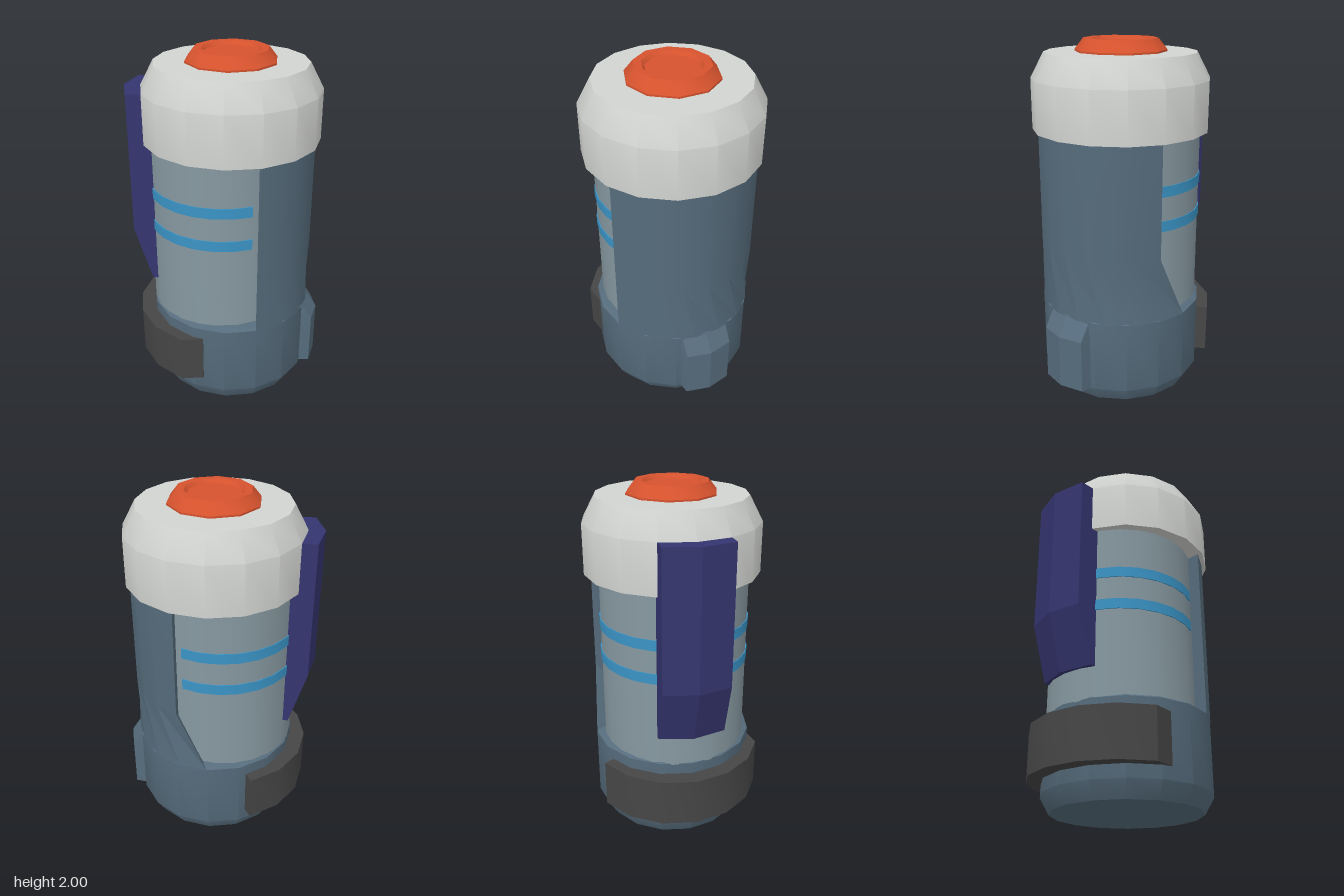
import * as THREE from 'three';
import { toCreasedNormals } from 'three/addons/utils/BufferGeometryUtils.js';

const AXIS = 0.025; // x of the canister's axis
const BODY_R = 0.468;

const mat = (name, color) => {
  const m = new THREE.MeshStandardMaterial({ color });
  m.name = name;
  return m;
};

// Turned part, smooth around and sharp at its rims
function turned(profile, segments, start = 0, length = Math.PI * 2) {
  const pts = profile.map(([r, y]) => new THREE.Vector2(r, y));
  return toCreasedNormals(new THREE.LatheGeometry(pts, segments, start, length), 0.56);
}

// Closed solid through horizontal rings of [x, z], ordered from +x towards +z
function loft(sections, crease = 0.42) {
  const pos = [], index = [], n = sections[0].ring.length;
  sections.forEach(({ y, ring }) => ring.forEach(([x, z, dy = 0]) => pos.push(x, y + dy, z)));
  for (let s = 0; s < sections.length - 1; s++) {
    for (let i = 0; i < n; i++) {
      const a = s * n + i, b = s * n + (i + 1) % n, c = b + n, d = a + n;
      index.push(a, d, c, a, c, b);
    }
  }
  [[0, 1], [sections.length - 1, -1]].forEach(([s, side]) => {
    const ring = sections[s].ring;
    const flat = ring.map(([x, z]) => new THREE.Vector2(x, z));
    for (const [i, j, k] of THREE.ShapeUtils.triangulateShape(flat.slice(), [])) {
      const turn = THREE.ShapeUtils.area([flat[i], flat[j], flat[k]]);
      const o = s * n;
      if (turn * side > 0) index.push(o + i, o + j, o + k);
      else index.push(o + i, o + k, o + j);
    }
  });
  const g = new THREE.BufferGeometry();
  g.setAttribute('position', new THREE.Float32BufferAttribute(pos, 3));
  g.setIndex(index);
  return toCreasedNormals(g.toNonIndexed(), crease);
}

const arc = (cx, r, from, to, steps) => Array.from({ length: steps + 1 }, (_, i) => {
  const a = from + (to - from) * i / steps;
  return [cx + r * Math.cos(a), r * Math.sin(a)];
});

export function createModel() {
  const group = new THREE.Group();
  const bodyMat = mat('slate blue', 0x566c7c);
  const panelMat = mat('pale blue grey', 0x8799a1);
  const capMat = mat('light grey', 0xd2d4d1);
  const buttonMat = mat('orange', 0xd7532e);
  const clipMat = mat('navy', 0x353570);
  const strapMat = mat('charcoal', 0x464646);
  const stripeMat = mat('bright blue', 0x3a94c6);
  stripeMat.side = THREE.DoubleSide;

  const add = (name, geometry, material, x = 0) => {
    const mesh = new THREE.Mesh(geometry, material);
    mesh.name = name;
    mesh.position.x = x;
    group.add(mesh);
  };

  // Base cup with chamfered foot and a ledge under the panel
  add('baseCup', turned([[0, 0], [0.415, 0], [BODY_R, 0.09], [BODY_R, 0.505], [0.455, 0.515], [0.39, 0.525], [0, 0.525]], 16), bodyMat, AXIS);

  // Upper shell on one side, its rear edge slanting out towards the base
  const shellRing = (rearX) => {
    const front = Math.acos((0.2 - AXIS) / BODY_R);
    const rear = Math.acos((rearX - AXIS) / BODY_R);
    return [...arc(AXIS, BODY_R, -rear, front, 8), [0.2, 0]];
  };
  add('sideShell', loft([
    { y: 0.5, ring: shellRing(0.03) },
    { y: 0.87, ring: shellRing(0.2) },
    { y: 1.55, ring: shellRing(0.2) },
  ]), bodyMat);

  // Recessed panel and its two stripes
  const panelX = -0.018, panelR = 0.42;
  add('panel', turned([[panelR, 0.5], [panelR, 1.55]], 24), panelMat, panelX);
  for (const y of [1.005, 1.2]) {
    const stripe = turned([[0.417, y], [0.425, y], [0.425, y + 0.06], [0.417, y + 0.06]], 16,
      THREE.MathUtils.degToRad(-206), THREE.MathUtils.degToRad(232));
    add('stripe', stripe, stripeMat, panelX);
  }

  // Cap and push button
  add('cap', turned([[0.38, 1.51], [0.495, 1.51], [0.495, 1.79], [0.42, 1.93], [0, 1.93]], 16), capMat, AXIS);
  add('button', turned([[0.253, 1.92], [0.253, 1.94], [0.205, 2], [0.163, 2], [0.145, 1.98], [0, 1.98]], 10), buttonMat, AXIS);

  // Belt clip, ridged along the middle and tapering at the bottom
  const clipRing = (dx) => [[-0.37, -0.19], [-0.37, 0.19], [-0.515 + dx, 0.19], [-0.56 + dx, 0], [-0.515 + dx, -0.19]];
  add('clip', loft([
    { y: 0.68, ring: clipRing(0.095) },
    { y: 1, ring: clipRing(0) },
    { y: 1.79, ring: clipRing(0) },
  ], 0.1), clipMat);

  // Strap wrapped round the base
  const deg = THREE.MathUtils.degToRad;
  const strapRing = [
    [-0.1, 0.446],
    ...arc(-0.03, 0.503, deg(112.5), deg(247.5), 6),
    [-0.19, -0.41],
    ...arc(AXIS, 0.44, deg(242), deg(106), 8),
  ];
  add('strap', loft([{ y: 0.16, ring: strapRing }, { y: 0.44, ring: strapRing }]), strapMat);

  // Raised tab opposite the strap, sloping back into the shell
  const tabRing = (dx, w) => [[0.4, -w], [0.525 + dx, -0.14], [0.558 + dx, 0], [0.525 + dx, 0.14], [0.4, w]];
  add('sideTab', loft([
    { y: 0.09, ring: tabRing(0, 0.16) },
    { y: 0.4, ring: tabRing(0, 0.16) },
    { y: 0.51, ring: tabRing(-0.07, 0.16) },
  ], 0.3), bodyMat);

  return group;
}
